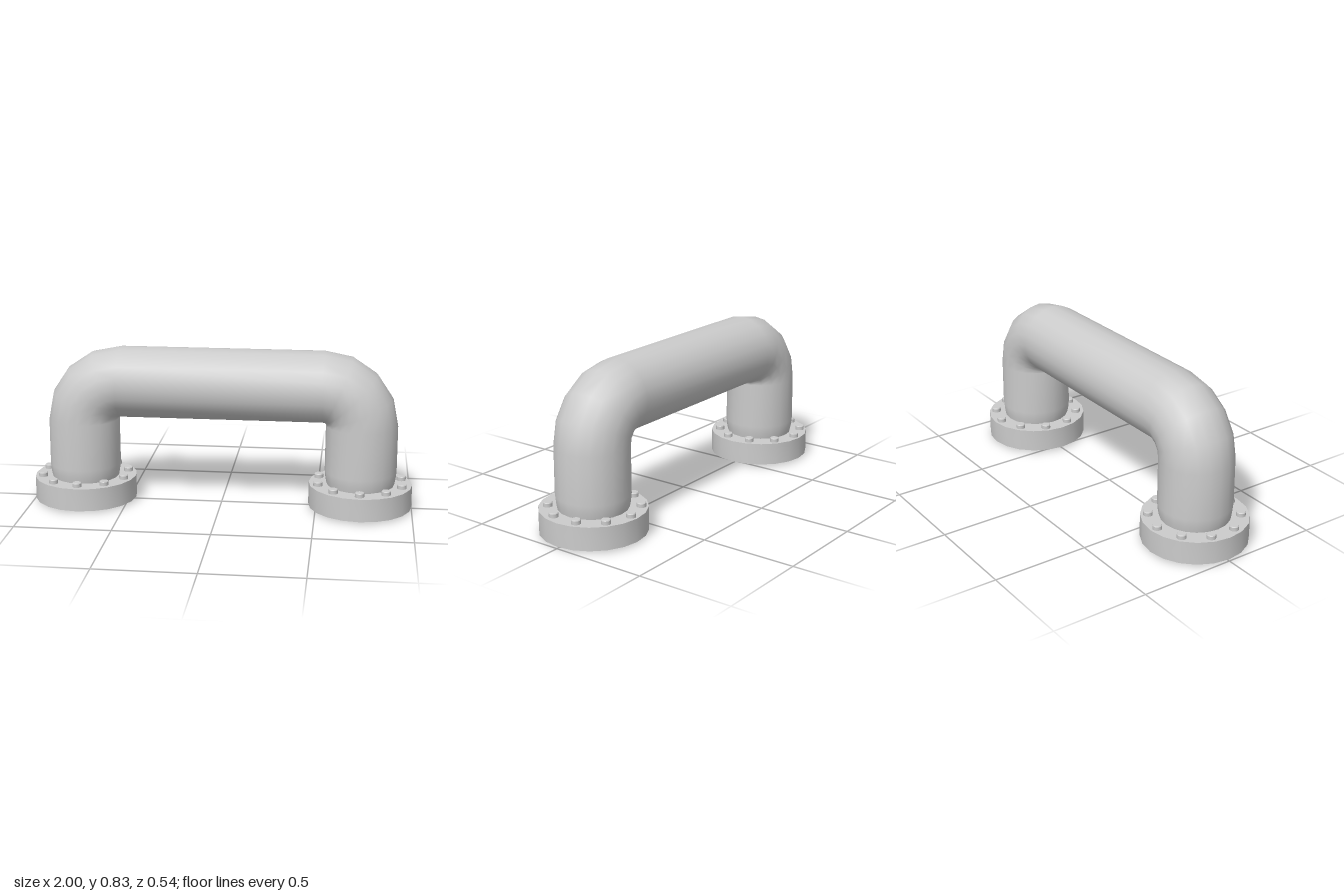
import * as THREE from 'three';
import { toCreasedNormals } from 'three/addons/utils/BufferGeometryUtils.js';

const SIDES = 20;
const LEG_X = 0.73;
const BEND = 0.2;
const PIPE_Y = 0.645;
const PIPE_R = 0.186;

const material = new THREE.MeshStandardMaterial({ color: 0xcccccc, side: THREE.DoubleSide });

// Lathe with crisp rims and smooth walls
function lathe(points, segments) {
  const profile = points.map(([r, y]) => new THREE.Vector2(r, y));
  return toCreasedNormals(new THREE.LatheGeometry(profile, segments), 0.6);
}

// Open round tube through stations of { x, y, angle, r }, where angle is the heading in the xy plane
function pipeGeometry(stations) {
  const positions = [];
  const indices = [];
  stations.forEach(({ x, y, angle, r }, i) => {
    for (let j = 0; j < SIDES; j++) {
      const a = (j / SIDES) * Math.PI * 2;
      const out = r * Math.cos(a);
      positions.push(x - Math.sin(angle) * out, y + Math.cos(angle) * out, r * Math.sin(a));
      if (i === stations.length - 1) continue;
      const next = (j + 1) % SIDES;
      const p = i * SIDES + j;
      const q = i * SIDES + next;
      indices.push(p, q, q + SIDES, p, q + SIDES, p + SIDES);
    }
  });
  const geometry = new THREE.BufferGeometry();
  geometry.setAttribute('position', new THREE.Float32BufferAttribute(positions, 3));
  geometry.setIndex(indices);
  geometry.computeVertexNormals();
  return geometry;
}

// One half of the pipe path: a leg with a slightly drawn-in foot, then a quarter bend
function halfPath() {
  const up = Math.PI / 2;
  const stations = [[0.13, 0.177], [0.16, 0.183], [0.2, 0.187]]
    .map(([y, r]) => ({ x: -LEG_X, y, angle: up, r }));
  const steps = 4;
  for (let i = 0; i <= steps; i++) {
    const t = (i / steps) * up;
    stations.push({
      x: -LEG_X + BEND - BEND * Math.cos(t),
      y: PIPE_Y - BEND + BEND * Math.sin(t),
      angle: up - t,
      r: PIPE_R,
    });
  }
  return stations;
}

export function createModel() {
  const group = new THREE.Group();
  group.name = 'pipeArch';

  // Bent pipe, mirrored about the middle
  const half = halfPath();
  const mirrored = half.map((s) => ({ ...s, x: -s.x, angle: -s.angle })).reverse();
  const pipe = new THREE.Mesh(pipeGeometry([...half, ...mirrored]), material);
  pipe.name = 'pipe';
  group.add(pipe);

  // Hollow flange with a shallow conical underside and a central opening
  const flangeGeometry = lathe([[0.14, 0], [0.27, 0.01], [0.27, 0.13], [0.177, 0.13]], SIDES);
  // Bolt head with a softened top edge
  const boltGeometry = lathe([[0.024, 0], [0.024, 0.019], [0.021, 0.023], [0, 0.023]], 12);

  for (const side of [-1, 1]) {
    const foot = new THREE.Group();
    foot.name = side > 0 ? 'leftFoot' : 'rightFoot';
    foot.position.x = side * LEG_X;
    group.add(foot);

    const flange = new THREE.Mesh(flangeGeometry, material);
    flange.name = 'flange';
    foot.add(flange);

    // Ring of ten bolts
    const bolts = new THREE.Group();
    bolts.name = 'bolts';
    bolts.position.set(-0.002, 0.13, -0.005);
    foot.add(bolts);
    for (let i = 0; i < 10; i++) {
      const a = (i / 10) * Math.PI * 2;
      const bolt = new THREE.Mesh(boltGeometry, material);
      bolt.name = 'bolt';
      bolt.position.set(0.228 * Math.sin(a), 0, 0.228 * Math.cos(a));
      bolts.add(bolt);
    }
  }
  return group;
}
